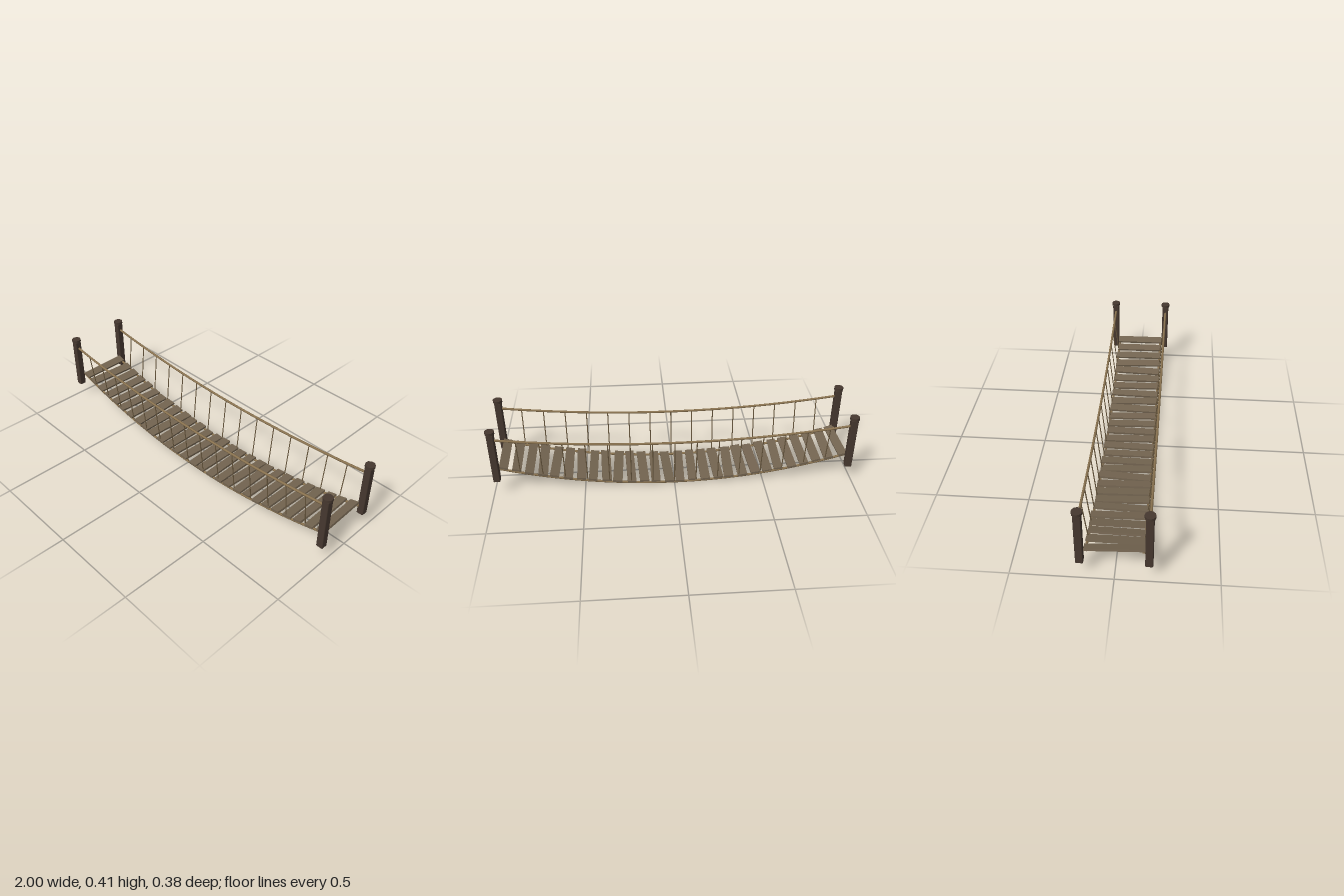
import * as THREE from 'three';
import { RoundedBoxGeometry } from 'three/addons/geometries/RoundedBoxGeometry.js';

const material = (name, color) => {
  const m = new THREE.MeshStandardMaterial({ color });
  m.name = name;
  return m;
};

const SPAN = 0.97, RAIL_Z = 0.163, DECK_Z = 0.136;
const railY = x => 0.289 + 0.064 * (x / SPAN) ** 2;
const deckY = x => 0.009 + 0.142 * (x / SPAN) ** 2;

export function createModel() {
  const postWood = material('dark post wood', 0x46382f);
  const plankWood = material('weathered plank wood', 0x736450);
  const rope = material('rope', 0x8a7350);
  const cord = material('thin cord', 0x6f5d42);

  const model = new THREE.Group();
  model.name = 'ropeBridge';
  const add = (parent, name, geometry, mat, x = 0, y = 0, z = 0) => {
    const mesh = new THREE.Mesh(geometry, mat);
    mesh.name = name;
    mesh.position.set(x, y, z);
    parent.add(mesh);
    return mesh;
  };

  // Seeded variation for the planks
  let seed = 11;
  const jitter = () => {
    seed = (seed * 16807) % 2147483647;
    return (seed / 2147483647) * 2 - 1;
  };

  // Four corner posts with bevelled edges and round caps
  const postGeo = new RoundedBoxGeometry(0.038, 0.304, 0.038, 1, 0.005);
  const neckGeo = new THREE.CylinderGeometry(0.015, 0.015, 0.012, 12);
  const capGeo = new THREE.CylinderGeometry(0.026, 0.026, 0.015, 12);
  for (const sx of [-1, 1]) for (const sz of [-1, 1]) {
    const post = new THREE.Group();
    post.name = `${sz > 0 ? 'front' : 'back'}${sx > 0 ? 'Left' : 'Right'}Post`;
    post.position.set(sx * 0.974, 0, sz * RAIL_Z);
    add(post, 'shaft', postGeo, postWood, 0, 0.242, 0);
    add(post, 'neck', neckGeo, postWood, 0, 0.393, 0);
    add(post, 'cap', capGeo, postWood, 0, 0.4025, 0);
    model.add(post);
  }

  // Sagging handrail and deck ropes
  const sagRope = (name, heightAt, z, radius) => {
    const points = [];
    for (let i = 0; i <= 16; i++) {
      const x = -SPAN + (2 * SPAN * i) / 16;
      points.push(new THREE.Vector3(x, heightAt(x), z));
    }
    const curve = new THREE.CatmullRomCurve3(points);
    add(model, name, new THREE.TubeGeometry(curve, 64, radius, 8), rope);
  };
  for (const s of [-1, 1]) {
    const side = s > 0 ? 'front' : 'back';
    sagRope(`${side}HandRope`, railY, s * RAIL_Z, 0.0065);
    sagRope(`${side}DeckRope`, deckY, s * DECK_Z, 0.0065);

    // Hanger cords between the two ropes
    for (let i = 1; i < 16; i++) {
      const x = -SPAN + (2 * SPAN * i) / 16;
      const line = new THREE.LineCurve3(
        new THREE.Vector3(x, railY(x), s * RAIL_Z),
        new THREE.Vector3(x, deckY(x), s * DECK_Z));
      add(model, `${side}Hanger`, new THREE.TubeGeometry(line, 1, 0.003, 6), cord);
    }
  }

  // Deck planks following the sag, each laid a little unevenly
  const count = 28;
  for (let i = 0; i < count; i++) {
    const x = -0.94 + (1.88 * i) / (count - 1);
    const geo = new THREE.BoxGeometry(0.051 + 0.003 * jitter(), 0.012, 0.288 + 0.006 * jitter());
    const plank = add(model, 'plank', geo, plankWood, x, deckY(x) + 0.01, 0.003 * jitter());
    const slope = Math.atan((2 * 0.142 * x) / SPAN ** 2);
    plank.rotation.set(0.018 * jitter(), 0.05 * jitter(), slope + 0.03 * jitter(), 'ZYX');
  }

  return model;
}
